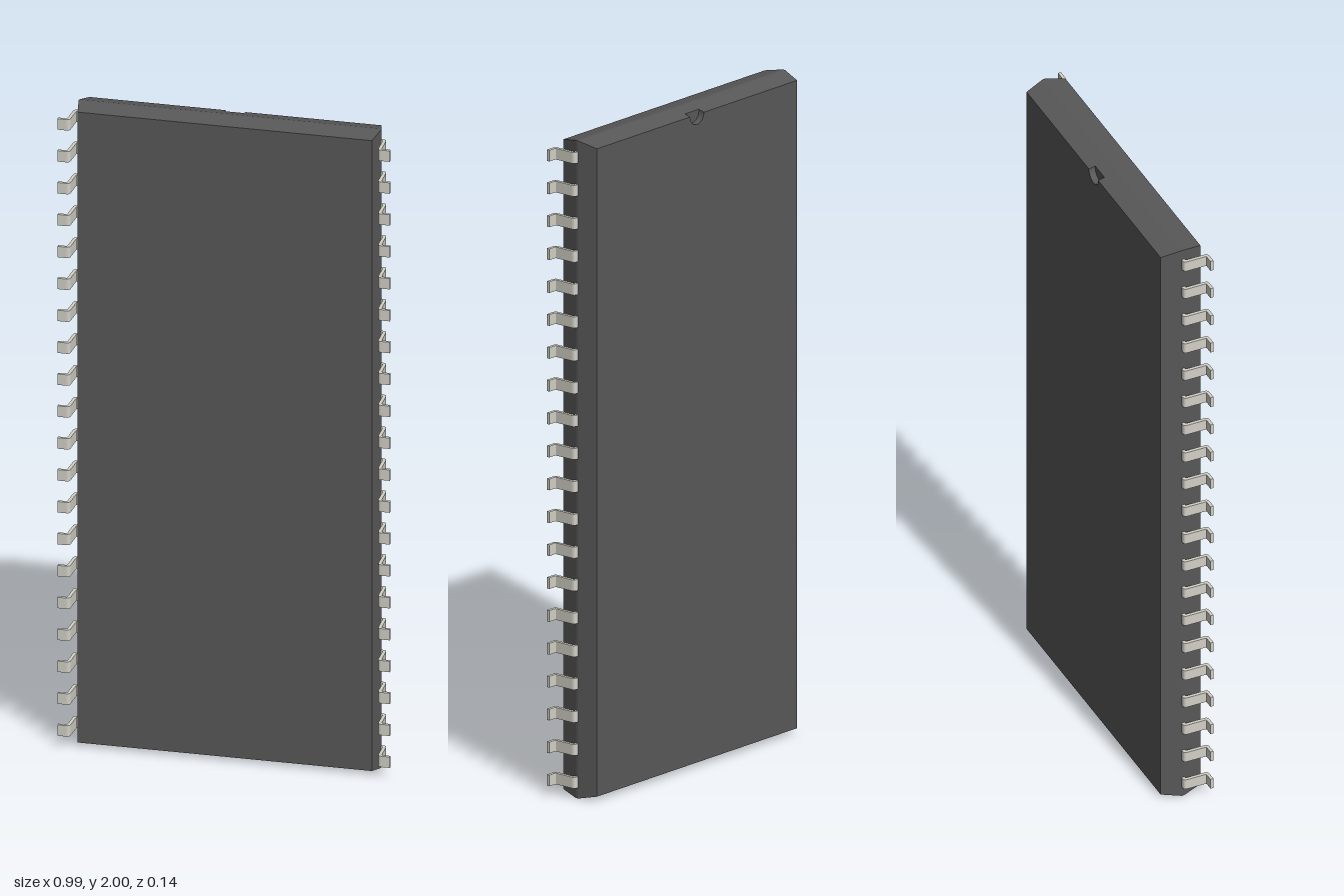
import * as THREE from 'three';

const HALF_W = 0.452, HEIGHT = 2, NOTCH_R = 0.03, NOTCH_Y = 1.985;

// Rectangular outline, optionally with a round bite in the middle of the top edge
function bodyOutline(notched) {
  const s = new THREE.Shape();
  s.moveTo(-HALF_W, 0);
  s.lineTo(HALF_W, 0);
  s.lineTo(HALF_W, HEIGHT);
  if (notched) {
    s.lineTo(NOTCH_R, HEIGHT);
    s.lineTo(NOTCH_R, NOTCH_Y);
    s.absarc(0, NOTCH_Y, NOTCH_R, 0, -Math.PI, true);
    s.lineTo(-NOTCH_R, HEIGHT);
  }
  s.lineTo(-HALF_W, HEIGHT);
  s.closePath();
  return s;
}

// One slab of the body; the outer edges draw in by a given inset at each end
function bodyLayer(back, front, notched = false) {
  const geo = new THREE.ExtrudeGeometry(bodyOutline(notched), { depth: 1, bevelEnabled: false, curveSegments: 16 });
  const p = geo.attributes.position;
  for (let i = 0; i < p.count; i++) {
    const [z, inset] = p.getZ(i) < 0.5 ? back : front;
    const x = p.getX(i), y = p.getY(i);
    if (Math.abs(x) > 0.4) p.setX(i, x - Math.sign(x) * inset);
    if (y > 1.99) p.setY(i, y - inset);
    if (y < 0.01) p.setY(i, y + inset);
    p.setZ(i, z);
  }
  geo.computeVertexNormals();
  return geo;
}

// Gull-wing lead: bent strip profile in x-z, extruded along y
function pinGeometry(width) {
  const s = new THREE.Shape();
  s.moveTo(0.44, -0.013);
  s.lineTo(0.456, -0.013);
  s.quadraticCurveTo(0.468, -0.013, 0.468, -0.002);
  s.lineTo(0.47, 0.054);
  s.quadraticCurveTo(0.47, 0.0585, 0.4735, 0.0585);
  s.lineTo(0.497, 0.0585);
  s.lineTo(0.497, 0.068);
  s.lineTo(0.471, 0.068);
  s.quadraticCurveTo(0.46, 0.068, 0.46, 0.056);
  s.lineTo(0.458, 0.001);
  s.quadraticCurveTo(0.458, -0.003, 0.454, -0.003);
  s.lineTo(0.44, -0.003);
  s.closePath();
  const geo = new THREE.ExtrudeGeometry(s, { depth: width, bevelEnabled: false, curveSegments: 5 });
  return geo.translate(0, 0, -width / 2).rotateX(Math.PI / 2);
}

export function createModel() {
  const model = new THREE.Group();
  model.name = 'chipPackage';
  const plastic = new THREE.MeshStandardMaterial({ color: 0x585858 });
  const metal = new THREE.MeshStandardMaterial({ color: 0xd2d0c6 });

  // Moulded body: front taper, parting band, back taper, notched back slab
  const body = new THREE.Group();
  body.name = 'body';
  const layers = {
    bodyFront: bodyLayer([-0.004, 0], [0.054, 0.012]),
    partingBand: bodyLayer([-0.013, 0], [-0.004, 0]),
    bodyBack: bodyLayer([-0.053, 0.01], [-0.013, 0]),
    notchedBack: bodyLayer([-0.073, 0.015], [-0.053, 0.01], true),
  };
  for (const [name, geo] of Object.entries(layers)) {
    const mesh = new THREE.Mesh(geo, plastic);
    mesh.name = name;
    body.add(mesh);
  }
  model.add(body);

  // Twenty leads down each side
  const pinGeo = pinGeometry(0.034);
  for (const side of ['left', 'right']) {
    const row = new THREE.Group();
    row.name = side + 'Pins';
    for (let i = 0; i < 20; i++) {
      const pin = new THREE.Mesh(pinGeo, metal);
      pin.name = side + 'Pin' + (i + 1);
      pin.position.y = 0.05 + i * 0.1;
      if (side === 'right') pin.rotation.z = Math.PI;
      row.add(pin);
    }
    model.add(row);
  }
  return model;
}
